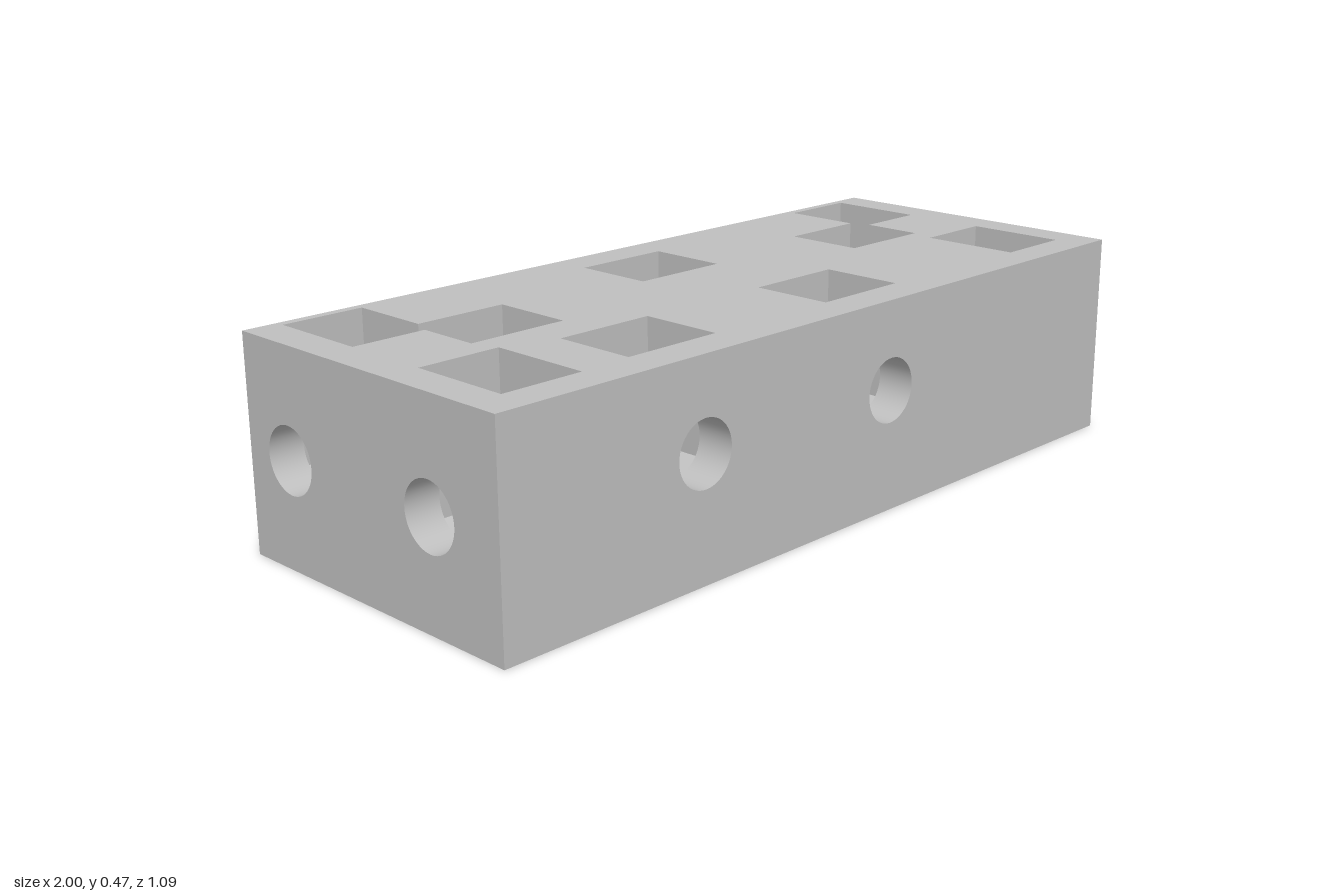
import * as THREE from 'three';

const L = 1.894, W = 0.774, H = 0.473;   // block size
const A = 0.1175, T = 0.095;             // pocket: half across flats, half thickness
const R = 0.0725;                        // bore radius
const TAN = Math.tan(Math.PI / 6);
const DU = 0.0185, DW = 0.0455;          // overlap of the merged pockets
const Y_END = 0.235, Y_SIDE = 0.273;     // bore heights
const Y_STEP = Y_SIDE - A * TAN;

const grey = new THREE.MeshStandardMaterial({ color: 0xbfbfbf, side: THREE.DoubleSide });
grey.name = 'grey';

const poly = (pts) => new THREE.Shape(pts.map(([x, y]) => new THREE.Vector2(x, y)));
const rect = (x0, y0, x1, y1) => poly([[x0, y0], [x1, y0], [x1, y1], [x0, y1]]);
const circle = (x, y) => new THREE.Path().absarc(x, y, R, 0, Math.PI * 2, true);

function add(parent, name, geometry) {
  const mesh = new THREE.Mesh(geometry, grey);
  mesh.name = name;
  parent.add(mesh);
  return mesh;
}
const plate = (parent, name, shape) => add(parent, name, new THREE.ShapeGeometry(shape, 24));

// Hexagonal nut slot open at the top, with a bore along +z to the block face.
// s is the side on which it runs into a neighbour, 0 for none.
function makePocket({ x, z, s = 0 }, cy, faceZ, isEnd) {
  const g = new THREE.Group();
  g.name = 'nutPocket';
  g.position.set(x, 0, z);
  const m = s || 1;
  const edge = cy - A * TAN, tip = cy - 2 * A * TAN;
  const cutEnd = s && isEnd, cutSide = s && !isEnd;

  // end walls with a pointed bottom
  const wall = (cutX, cutY) => poly([
    [-A, edge], [0, tip], [A, edge],
    ...(cutX ? [[A, cutY], [A - cutX, cutY], [A - cutX, H]] : [[A, H]]),
    [-A, H],
  ].map(([px, py]) => [px * m, py]));
  const outer = cutSide
    ? poly([[-A, edge], [0, tip], [A - DU, edge - DU * TAN], [A - DU, H], [-A, H]].map(([px, py]) => [px * m, py]))
    : wall(0, 0);
  outer.holes.push(circle(0, cy));
  plate(g, 'outerWall', outer).position.z = T;
  plate(g, 'innerWall', wall(cutEnd ? DW : 0, Y_STEP)).position.z = -T;

  // flat side walls, drawn as (z, y)
  for (const side of [-1, 1]) {
    let shape = rect(-T, edge, T, H);
    if (side === s && isEnd) {
      shape = poly([[-T, edge], [T, edge], [T, H], [-T + DU, H], [-T + DU, Y_STEP], [-T, Y_STEP]]);
    } else if (side === s) {
      shape = rect(-T, edge, T - DW, H);
    }
    const mesh = plate(g, 'sideWall', shape);
    mesh.rotation.y = -Math.PI / 2;
    mesh.position.x = side * A;

    // sloping half of the floor, laid out as (x, z) then tilted
    const floor = side === s && cutSide
      ? poly([[0, -T], [A, -T], [A, T - DW], [A - DU, T - DW], [A - DU, T], [0, T]])
      : rect(0, -T, A, T);
    const geo = new THREE.ShapeGeometry(floor);
    const p = geo.attributes.position;
    for (let i = 0; i < p.count; i++) {
      p.setXYZ(i, side * p.getX(i), tip + p.getX(i) * TAN, p.getY(i));
    }
    // keep every floor triangle facing up
    if (side === 1) {
      const idx = geo.index.array;
      for (let i = 0; i < idx.length; i += 3) [idx[i], idx[i + 1]] = [idx[i + 1], idx[i]];
    }
    geo.computeVertexNormals();
    add(g, 'floorSlope', geo);
  }

  const length = faceZ - z - T;
  const bore = add(g, 'bore', new THREE.CylinderGeometry(R, R, length, 48, 1, true));
  bore.rotation.x = Math.PI / 2;
  bore.position.set(0, cy, T + length / 2);
  return g;
}

export function createModel() {
  const model = new THREE.Group();
  model.name = 'drilledBlock';
  const block = new THREE.Group();
  block.name = 'block';
  block.rotation.y = THREE.MathUtils.degToRad(10);
  model.add(block);

  // four upright faces with their bores and pockets
  const faces = [
    { name: 'frontFace', turn: 0, pockets: [{ x: -0.436, z: 0.205 }, { x: 0.133, z: 0.205 }] },
    { name: 'backFace', turn: Math.PI, pockets: [
      { x: 0, z: 0.205 }, { x: 0.578, z: 0.082, s: 1 }, { x: -0.578, z: 0.082, s: -1 }] },
    { name: 'leftEnd', turn: Math.PI / 2, end: true, pockets: [
      { x: 0.249, z: 0.772, s: -1 }, { x: -0.19, z: 0.772 }] },
    { name: 'rightEnd', turn: -Math.PI / 2, end: true, pockets: [
      { x: -0.249, z: 0.772, s: 1 }, { x: 0.19, z: 0.772 }] },
  ];
  for (const { name, turn, end = false, pockets } of faces) {
    const side = new THREE.Group();
    side.name = name + 'Group';
    side.rotation.y = turn;
    const half = (end ? W : L) / 2, dist = (end ? L : W) / 2, cy = end ? Y_END : Y_SIDE;
    const shape = rect(-half, 0, half, H);
    for (const pocket of pockets) {
      shape.holes.push(circle(pocket.x, cy));
      side.add(makePocket(pocket, cy, dist, end));
    }
    plate(side, name, shape).position.z = dist;
    block.add(side);
  }

  // top face with the slot openings, drawn as (x, -z)
  const top = rect(-L / 2, -W / 2, L / 2, W / 2);
  const cut = (pts) => top.holes.push(poly(pts.map(([x, z]) => [x, -z])));
  const cutRect = (x, z, hx, hz) => cut([[x - hx, z - hz], [x + hx, z - hz], [x + hx, z + hz], [x - hx, z + hz]]);
  cutRect(-0.436, 0.205, A, T);
  cutRect(0.133, 0.205, A, T);
  cutRect(0, -0.205, A, T);
  for (const m of [-1, 1]) {
    cutRect(m * 0.772, 0.19, T, A);
    const a0 = 0.772 + T, a1 = 0.772 - T, b0 = 0.578 + A, b1 = 0.578 - A;
    const az0 = -0.249 - A, az1 = -0.249 + A, bz0 = -0.082 - T, bz1 = -0.082 + T;
    cut([[a0, az0], [a1, az0], [a1, bz0], [b1, bz0], [b1, bz1], [b0, bz1], [b0, az1], [a0, az1]]
      .map(([x, z]) => [m * x, z]));
  }
  const topFace = plate(block, 'topFace', top);
  topFace.rotation.x = -Math.PI / 2;
  topFace.position.y = H;

  const bottom = add(block, 'bottomFace', new THREE.PlaneGeometry(L, W));
  bottom.rotation.x = Math.PI / 2;
  return model;
}
